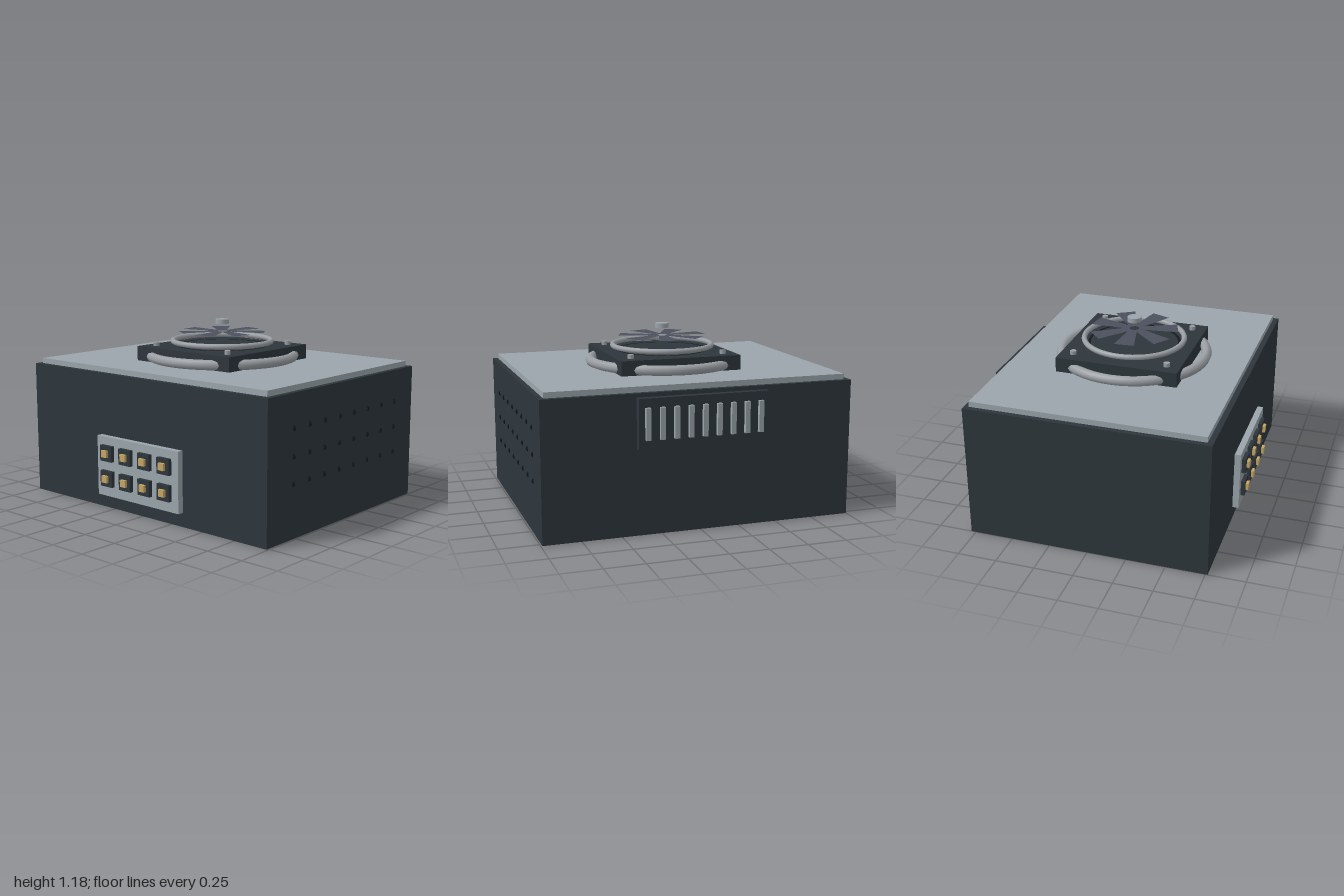
import * as THREE from 'three';

const mat = (name, color, side = THREE.FrontSide) => {
  const m = new THREE.MeshStandardMaterial({ color, side });
  m.name = name;
  return m;
};

export function createModel() {
  const casing = mat('charcoal casing', 0x2e363c);
  const panel = mat('pale grey panel', 0x9aa5ab);
  const metal = mat('brushed metal', 0x9a9fa4);
  const gold = mat('gold contact', 0xc6a563);
  const black = mat('vent black', 0x16191c, THREE.DoubleSide);
  const bladeGrey = mat('blade grey', 0x4b515d, THREE.DoubleSide);

  const model = new THREE.Group();
  model.name = 'powerSupplyUnit';

  const add = (name, geometry, material, x, y, z, parent = model) => {
    const mesh = new THREE.Mesh(geometry, material);
    mesh.name = name;
    mesh.position.set(x, y, z);
    parent.add(mesh);
    return mesh;
  };
  // Box given by its minimum and maximum corners
  const box = (name, material, [x0, x1], [y0, y1], [z0, z1]) =>
    add(name, new THREE.BoxGeometry(x1 - x0, y1 - y0, z1 - z0), material,
      (x0 + x1) / 2, (y0 + y1) / 2, (z0 + z1) / 2);

  // Casing and lid
  box('casing', casing, [-1, 0.99], [0, 0.875], [-0.78, 0.765]);
  box('lid', panel, [-0.965, 0.958], [0.875, 0.91], [-0.75, 0.73]);

  // Fan assembly
  const cx = -0.007, cz = -0.009;
  box('fanFrame', casing, [cx - 0.398, cx + 0.398], [0.91, 1.005], [cz - 0.398, cz + 0.398]);
  const ring = (name, radius, tube, y) =>
    add(name, new THREE.TorusGeometry(radius, tube, 8, 48).rotateX(Math.PI / 2), metal, cx, y, cz);
  ring('fanBaseRing', 0.475, 0.033, 0.942);
  ring('fanGuardRing', 0.327, 0.018, 1.037);
  add('fanOpeningRim', new THREE.RingGeometry(0.285, 0.303, 48).rotateX(-Math.PI / 2), black, cx, 1.008, cz);
  for (const sx of [-1, 1]) for (const sz of [-1, 1]) {
    add('frameScrew', new THREE.CylinderGeometry(0.02, 0.02, 0.025, 12), metal,
      cx + sx * 0.31, 1.0175, cz + sz * 0.31);
  }

  // Seven flat, flared blades below the hub cap
  const blades = new THREE.Group();
  blades.name = 'fanBlades';
  blades.position.set(cx, 1.1, cz);
  model.add(blades);
  const outline = new THREE.Shape([
    new THREE.Vector2(-0.025, 0.03), new THREE.Vector2(0.025, 0.03),
    new THREE.Vector2(0.07, 0.282), new THREE.Vector2(-0.06, 0.282),
  ]);
  const bladeGeometry = new THREE.ShapeGeometry(outline).rotateX(-Math.PI / 2);
  for (let i = 0; i < 7; i++) {
    add('fanBlade', bladeGeometry, bladeGrey, 0, 0, 0, blades).rotation.y =
      -0.14 - i * Math.PI * 2 / 7;
  }
  add('fanHub', new THREE.CylinderGeometry(0.045, 0.045, 0.03, 16), panel, cx, 1.165, cz);

  // Front socket panel
  box('socketPanel', panel, [-0.36, 0.343], [0.09, 0.478], [0.765, 0.805]);
  for (let c = 0; c < 4; c++) for (const y of [0.21, 0.375]) {
    const x = -0.261 + c * 0.166;
    add('socket', new THREE.BoxGeometry(0.102, 0.102, 0.025), casing, x, y, 0.8175);
    add('socketContact', new THREE.BoxGeometry(0.045, 0.045, 0.018), gold, x, y, 0.839);
  }

  // Rear grille with upright fins
  box('rearPlate', casing, [-0.42, 0.408], [0.542, 0.85], [-0.822, -0.78]);
  for (let i = 0; i < 9; i++) {
    const x = -0.366 + i * 0.09;
    box('rearFin', panel, [x - 0.015, x + 0.015], [0.6, 0.795], [-0.847, -0.822]);
  }

  // Side vents, three rows of eight
  const ventGeometry = new THREE.CylinderGeometry(0.02, 0.02, 0.018, 8).rotateX(Math.PI / 2);
  for (let i = 0; i < 8; i++) for (const y of [0.335, 0.5, 0.667]) {
    add('sideVent', ventGeometry, black, 0.98, y, 0.522 - i * 0.1545);
  }
  return model;
}
